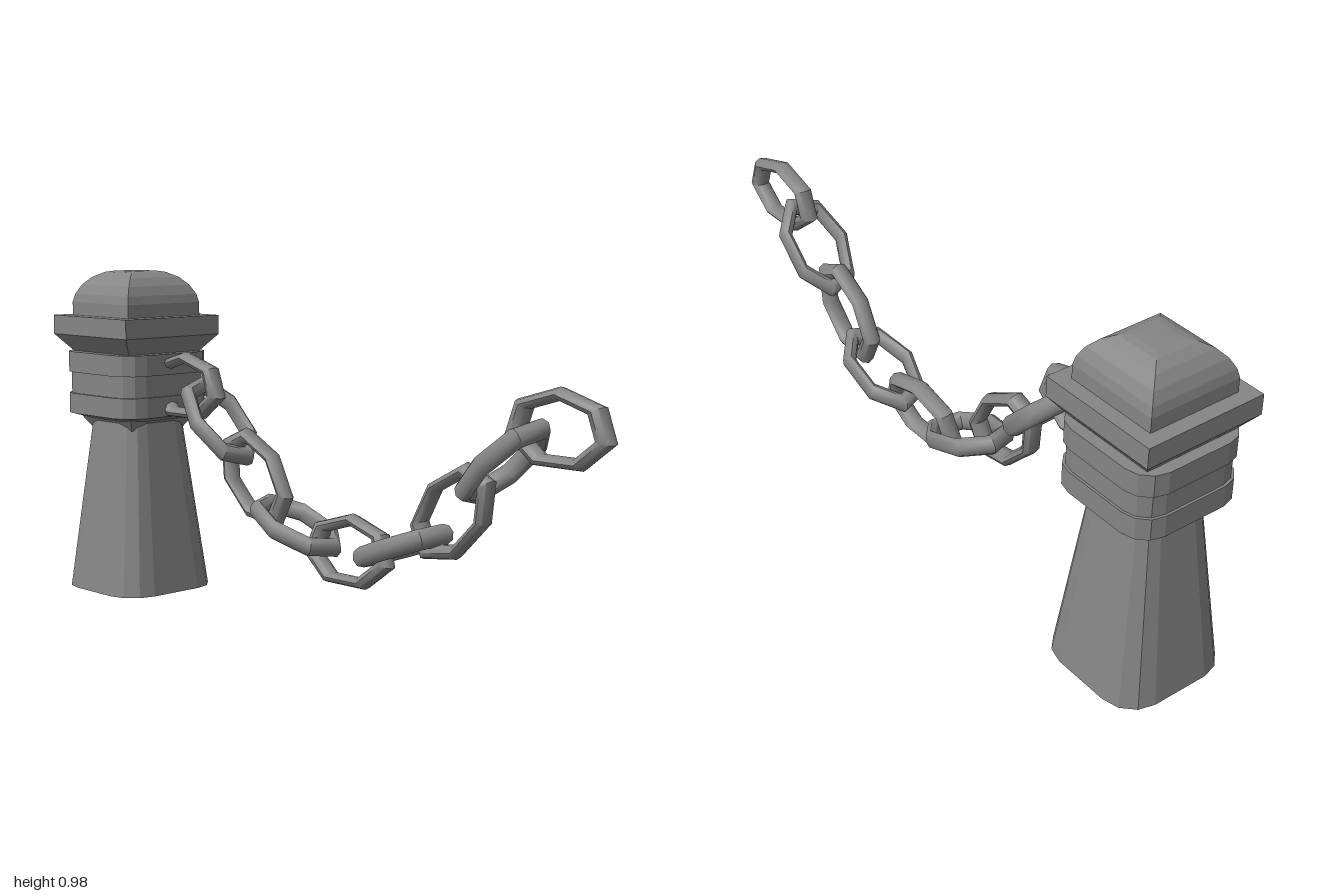
import * as THREE from 'three';
import { toCreasedNormals } from 'three/addons/utils/BufferGeometryUtils.js';

const stone = new THREE.MeshStandardMaterial({ color: 0x858585, flatShading: true });
const iron = new THREE.MeshStandardMaterial({ color: 0x858585 });

// Outline of a square with rounded corners
function squareRing(half, y, radius, segs) {
  const pts = [];
  for (let c = 0; c < 4; c++) {
    const mid = Math.PI / 4 + c * Math.PI / 2;
    const cx = Math.sign(Math.cos(mid)) * (half - radius);
    const cz = Math.sign(Math.sin(mid)) * (half - radius);
    for (let i = 0; i <= segs; i++) {
      const a = c * Math.PI / 2 + (segs ? (i / segs) * Math.PI / 2 : Math.PI / 4);
      pts.push([cx + radius * Math.cos(a), y, cz + radius * Math.sin(a)]);
    }
  }
  return pts;
}

// Loft through square sections [half, y, cornerRadius], closed at both ends
function squareLoft(sections, segs) {
  const n = 4 * (segs + 1);
  const verts = [], index = [];
  for (const [half, y, radius = 0] of sections) verts.push(...squareRing(half, y, radius, segs));
  for (let s = 0; s < sections.length - 1; s++) {
    for (let i = 0; i < n; i++) {
      const a = s * n + i, b = s * n + (i + 1) % n;
      index.push(a, a + n, b, b, a + n, b + n);
    }
  }
  const last = (sections.length - 1) * n;
  const bottom = verts.push([0, sections[0][1], 0]) - 1;
  const top = verts.push([0, sections[sections.length - 1][1], 0]) - 1;
  for (let i = 0; i < n; i++) {
    const j = (i + 1) % n;
    index.push(bottom, i, j, top, last + j, last + i);
  }
  const indexed = new THREE.BufferGeometry();
  indexed.setAttribute('position', new THREE.Float32BufferAttribute(verts.flat(), 3));
  indexed.setIndex(index);
  const geometry = indexed.toNonIndexed();
  geometry.computeVertexNormals();
  return geometry;
}

function addMesh(parent, name, geometry, material) {
  const mesh = new THREE.Mesh(geometry, material);
  mesh.name = name;
  parent.add(mesh);
  return mesh;
}

export function createModel() {
  const model = new THREE.Group();
  model.name = 'chainPost';

  // Post
  const post = new THREE.Group();
  post.name = 'post';
  post.position.x = -0.82;
  model.add(post);

  addMesh(post, 'column', squareLoft([[0.18, 0, 0.095], [0.113, 0.54, 0.06]], 3), stone);

  // Square flare whose corners show under the collar
  addMesh(post, 'collarFlare', squareLoft([[0.1, 0.5], [0.13, 0.545]], 0), stone);

  // Collar with a recessed middle band
  addMesh(post, 'collar', squareLoft([
    [0.12, 0.53, 0.06], [0.17, 0.545, 0.075], [0.17, 0.607, 0.075],
    [0.163, 0.607, 0.07], [0.163, 0.672, 0.07],
    [0.17, 0.672, 0.075], [0.17, 0.735, 0.075],
  ], 3), stone);

  // Flared neck and square slab
  addMesh(post, 'capSlab', squareLoft([
    [0.133, 0.73], [0.18, 0.787], [0.18, 0.845],
  ], 0), stone);

  // Four-sided dome
  addMesh(post, 'capDome', squareLoft([
    [0.138, 0.84], [0.138, 0.885], [0.132, 0.91], [0.117, 0.938],
    [0.094, 0.962], [0.066, 0.977], [0.045, 0.981], [0.001, 0.983],
  ], 0), stone);

  // Chain: stretched seven-sided rings, alternately upright and lying flat
  const chain = new THREE.Group();
  chain.name = 'chain';
  model.add(chain);

  const ring = new THREE.TorusGeometry(0.142, 0.028, 8, 7);
  ring.rotateZ(Math.PI / 2);
  ring.scale(1, 0.62, 1);
  const linkGeometry = toCreasedNormals(ring, 0.85);

  // Each link: x, y, tilt and roll about its own length in degrees
  const links = [
    [-0.582, 0.64, 0, 0], [-0.43, 0.55, -45, 90], [-0.27, 0.4, -45, -4],
    [-0.1, 0.28, -20, 90], [0.112, 0.236, 0, -8], [0.315, 0.28, 20, 90],
    [0.49, 0.39, 45, 0], [0.655, 0.54, 42, 90], [0.832, 0.64, 0, 0],
  ];
  links.forEach(([x, y, tilt, roll], i) => {
    const link = addMesh(chain, `chainLink${i + 1}`, linkGeometry, iron);
    link.position.set(x, y, 0);
    link.rotation.set(THREE.MathUtils.degToRad(roll), 0, THREE.MathUtils.degToRad(tilt), 'ZYX');
  });

  return model;
}
